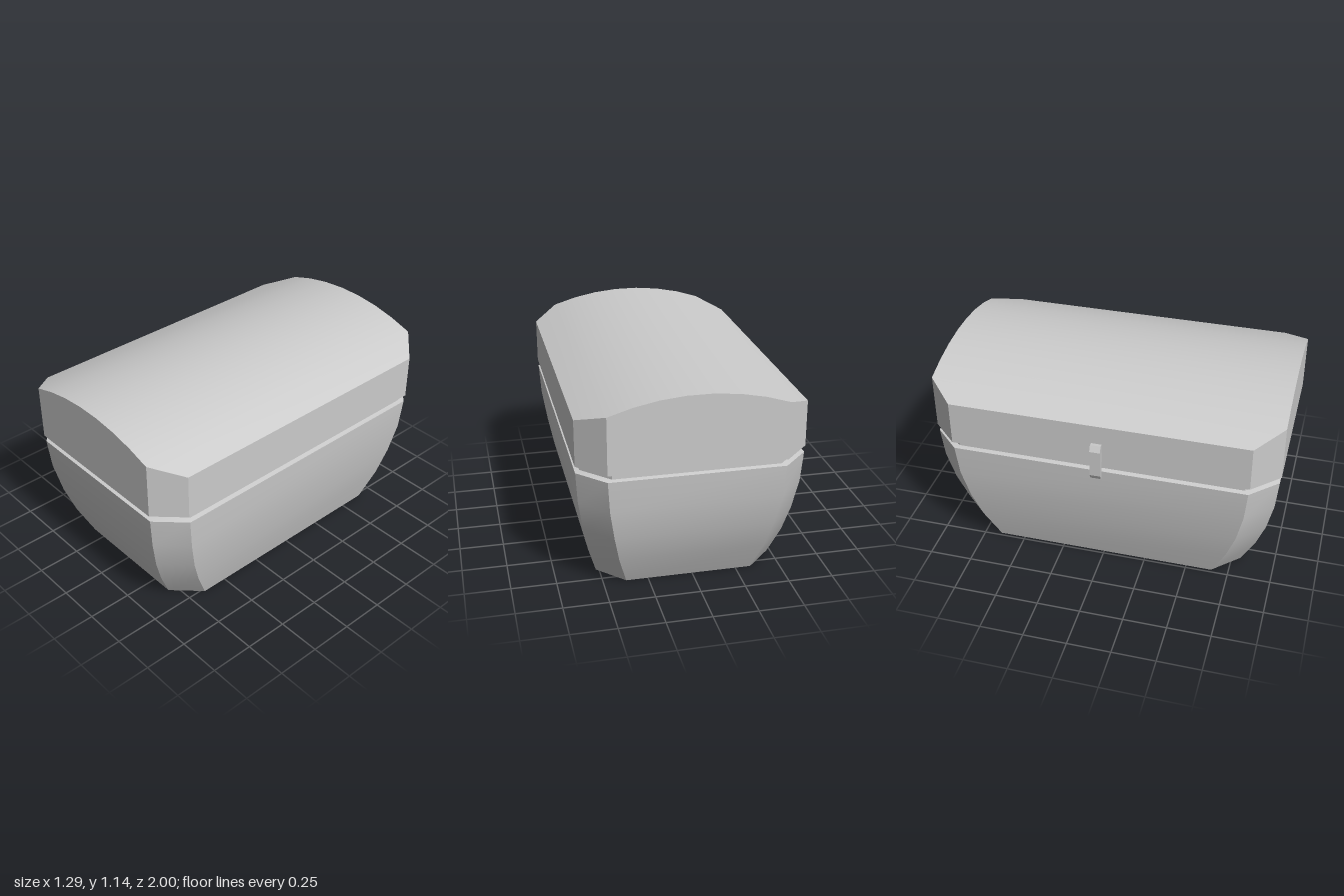
import * as THREE from 'three';
import { toCreasedNormals } from 'three/addons/utils/BufferGeometryUtils.js';

const grey = new THREE.MeshStandardMaterial({ color: 0xcccccc });
const CHAMFER_X = 0.145, CHAMFER_Z = 0.15;

// Ring with chamfered corners: front points left to right, then back points right to left
function ring(hx, hz, height, inner = []) {
  const c = hx - CHAMFER_X;
  const xs = [-hx, -c, ...inner, c, hx];
  const depth = (x) => (Math.abs(x) > c + 1e-6 ? hz - CHAMFER_Z : hz);
  const front = xs.map((x) => [x, height(x), depth(x)]);
  const back = xs.map((x) => [x, height(x), -depth(x)]).reverse();
  return [...front, ...back];
}

// Skin a stack of rings and close both ends with strips running front to back
function loft(rings) {
  const n = rings[0].length, pos = [], idx = [];
  rings.forEach((r) => r.forEach((p) => pos.push(...p)));
  const quad = (a, b, c, d) => idx.push(a, b, c, a, c, d);
  for (let k = 0; k < rings.length - 1; k++) {
    for (let i = 0; i < n; i++) {
      const j = (i + 1) % n;
      quad(k * n + i, k * n + j, (k + 1) * n + j, (k + 1) * n + i);
    }
  }
  const top = (rings.length - 1) * n;
  for (let i = 0; i < n / 2 - 1; i++) {
    quad(top + i, top + i + 1, top + n - 2 - i, top + n - 1 - i);
    quad(i, n - 1 - i, n - 2 - i, i + 1);
  }
  const g = new THREE.BufferGeometry();
  g.setAttribute('position', new THREE.Float32BufferAttribute(pos, 3));
  g.setIndex(idx);
  return toCreasedNormals(g, 0.6);
}

function addMesh(parent, name, geometry) {
  const mesh = new THREE.Mesh(geometry, grey);
  mesh.name = name;
  parent.add(mesh);
  return mesh;
}

export function createModel() {
  const model = new THREE.Group();
  model.name = 'chest';

  const box = new THREE.Group();
  box.name = 'box';
  box.position.x = 0.018;
  model.add(box);

  // Bulging lower body: half width, half depth, height
  const body = [
    [0.5, 0.8, 0], [0.551, 0.885, 0.18], [0.583, 0.939, 0.34],
    [0.611, 0.977, 0.52], [0.622, 0.993, 0.7],
  ];
  addMesh(box, 'body', loft(body.map(([x, z, y]) => ring(x, z, () => y))));

  // Recessed lip between body and lid, with a shallow ledge at its foot
  const lip = [[0.622, 0.993, 0.7], [0.597, 0.97, 0.706], [0.597, 0.97, 0.745]];
  addMesh(box, 'lip', loft(lip.map(([x, z, y]) => ring(x, z, () => y))));

  // Lid with an arched top
  const R = 1.415;
  const arch = (x) => 1.144 - R + Math.sqrt(R * R - x * x);
  const columns = [-0.345, -0.21, -0.07, 0.07, 0.21, 0.345];
  addMesh(box, 'lid', loft([
    ring(0.624, 1, () => 0.74, columns),
    ring(0.624, 1, arch, columns),
  ]));

  // Latch: the upper half sits on the lid, the tongue hangs over the gap
  const outline = [
    [-0.6, 0.885], [-0.627, 0.887], [-0.645, 0.853], [-0.645, 0.695],
    [-0.632, 0.668], [-0.616, 0.668], [-0.616, 0.763], [-0.6, 0.775],
  ].map(([x, y]) => new THREE.Vector2(x, y));
  const latch = new THREE.ExtrudeGeometry(new THREE.Shape(outline), { depth: 0.06, bevelEnabled: false });
  addMesh(model, 'latch', latch).position.z = -0.03;

  return model;
}
